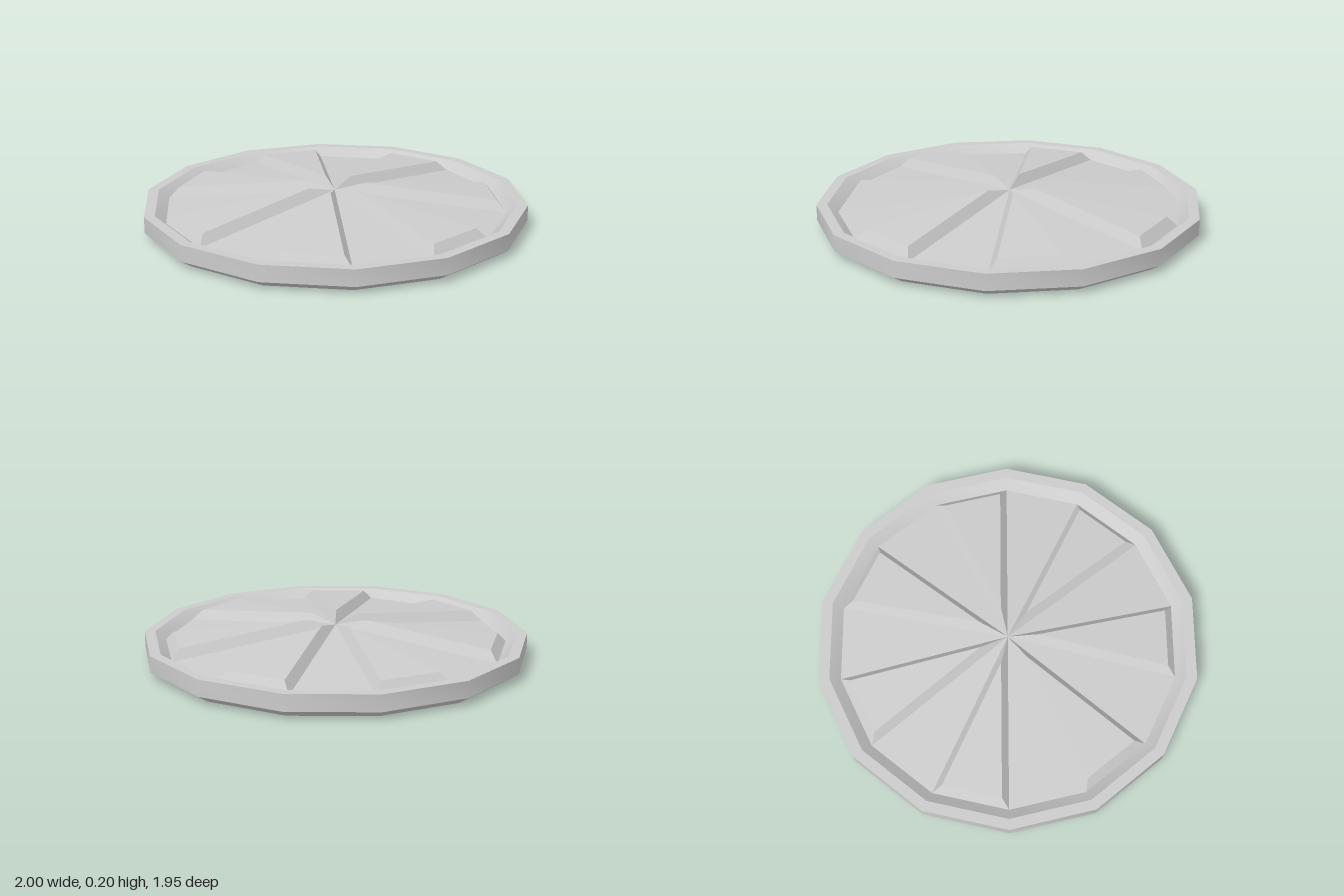
import * as THREE from 'three';
import { toCreasedNormals } from 'three/addons/utils/BufferGeometryUtils.js';

const SIDES = 14;
const HALF = Math.PI / SIDES;          // half angle of one wedge
const RADIUS = 0.89;                   // outer corner of the filling
const REACH = RADIUS * Math.cos(HALF); // distance to the middle of a wedge's end
const BEVEL = 0.035;                   // inset of a raised wedge's sides
const END_BEVEL = 0.04;
const LIFT = 0.05;

const material = new THREE.MeshStandardMaterial({ color: 0xcccccc });

// Point on the sloping filling of a wedge that runs along +x
const onSlope = (x, z, lift = 0) => [x, 0.165 - 0.085 * (x / REACH) + lift, z];

// Flat-faced geometry from convex polygons
function facets(polygons) {
  const positions = [];
  for (const p of polygons) {
    for (let i = 1; i < p.length - 1; i++) positions.push(...p[0], ...p[i], ...p[i + 1]);
  }
  const geometry = new THREE.BufferGeometry();
  geometry.setAttribute('position', new THREE.Float32BufferAttribute(positions, 3));
  geometry.computeVertexNormals();
  return geometry;
}

export function createModel() {
  const model = new THREE.Group();
  model.name = 'pie';

  // Dish: flat base, bevelled foot, rim and sloping inner wall
  const profile = [[0, 0], [0.94, 0], [1, 0.04], [1, 0.125], [0.945, 0.125], [RADIUS, 0.08]]
    .map(([r, y]) => new THREE.Vector2(r, y));
  const dish = new THREE.Mesh(
    toCreasedNormals(new THREE.LatheGeometry(profile, SIDES, Math.PI / 2), Math.PI / 6), material);
  dish.name = 'dish';
  model.add(dish);

  // Corners of one wedge at the base, and of the bevelled top above it
  const w = RADIUS * Math.sin(HALF);
  const topX = REACH - END_BEVEL;
  const topW = topX * Math.tan(HALF) - BEVEL / Math.cos(HALF);
  const centre = onSlope(0, 0), a = onSlope(REACH, -w), b = onSlope(REACH, w);
  const tip = onSlope(BEVEL / Math.sin(HALF), 0, LIFT);
  const topA = onSlope(topX, -topW, LIFT), topB = onSlope(topX, topW, LIFT);

  const lowGeometry = facets([[centre, b, a]]);
  const raisedGeometry = facets([
    [tip, topB, topA],
    [centre, b, topB, tip],
    [centre, tip, topA, a],
    [b, a, topA, topB],
  ]);

  // Raised and low wedges alternate around the dish
  for (let i = 0; i < SIDES; i++) {
    const raised = i % 2 === 0;
    const wedge = new THREE.Mesh(raised ? raisedGeometry : lowGeometry, material);
    wedge.name = raised ? 'raisedWedge' : 'lowWedge';
    wedge.rotation.y = (2 * i + 1) * HALF;
    model.add(wedge);
  }
  return model;
}
